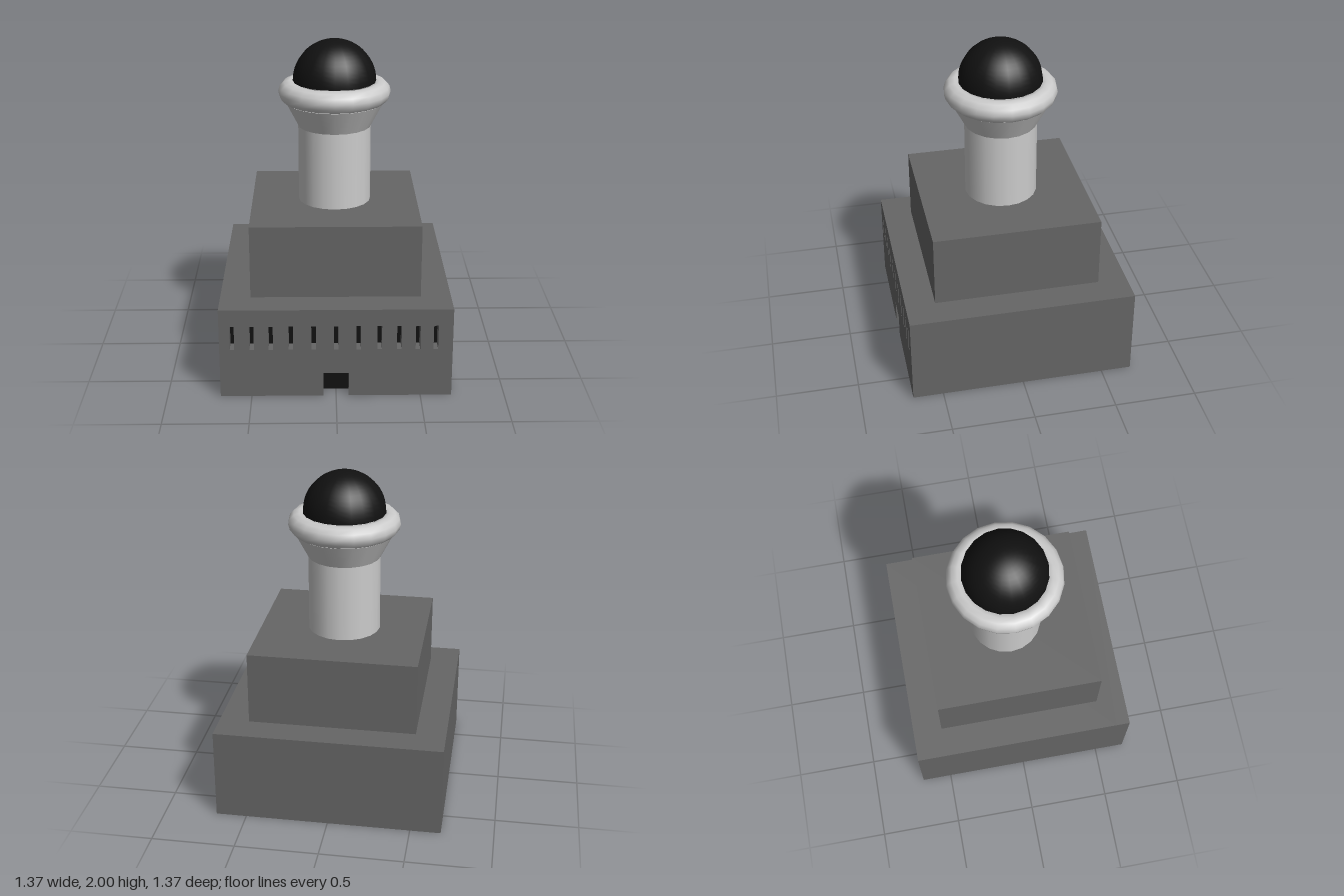
import * as THREE from 'three';

const stone = new THREE.MeshStandardMaterial({ color: 0x666666 });
const pale = new THREE.MeshStandardMaterial({ color: 0xcccccc });
const black = new THREE.MeshStandardMaterial({ color: 0x111111 });

const SIDES = 20;
const HALF = 0.685, BASE_H = 0.56, RECESS = 0.085;
const DOOR_W = 0.15, DOOR_H = 0.15;
const WIN_W = 0.027, WIN_Y0 = 0.305, WIN_Y1 = 0.455;
const WINDOW_X = [-0.61, -0.495, -0.383, -0.265, -0.132, 0, 0.132, 0.255, 0.37, 0.48, 0.585];

export function createModel() {
  const model = new THREE.Group();
  const add = (name, geometry, material, x = 0, y = 0, z = 0, parent = model) => {
    const mesh = new THREE.Mesh(geometry, material);
    mesh.name = name;
    mesh.position.set(x, y, z);
    parent.add(mesh);
    return mesh;
  };

  // Lower block: solid rear body plus a front wall pierced by door and windows
  const base = new THREE.Group();
  base.name = 'lowerBlock';
  model.add(base);
  const bodyDepth = 2 * HALF - RECESS;
  add('lowerBody', new THREE.BoxGeometry(2 * HALF, BASE_H, bodyDepth), stone, 0, BASE_H / 2, -RECESS / 2, base);

  const d = DOOR_W / 2;
  const wall = new THREE.Shape([
    [-HALF, 0], [-d, 0], [-d, DOOR_H], [d, DOOR_H], [d, 0],
    [HALF, 0], [HALF, BASE_H], [-HALF, BASE_H],
  ].map(([x, y]) => new THREE.Vector2(x, y)));
  const w = WIN_W / 2;
  for (const x of WINDOW_X) {
    wall.holes.push(new THREE.Path([
      [x - w, WIN_Y0], [x - w, WIN_Y1], [x + w, WIN_Y1], [x + w, WIN_Y0],
    ].map(([px, py]) => new THREE.Vector2(px, py))));
  }
  const wallGeometry = new THREE.ExtrudeGeometry(wall, { depth: RECESS, bevelEnabled: false });
  add('frontWall', wallGeometry, stone, 0, 0, HALF - RECESS, base);

  // Dark panels at the back of each recess
  const panelZ = HALF - RECESS + 0.003;
  add('door', new THREE.PlaneGeometry(DOOR_W, DOOR_H), black, 0, DOOR_H / 2, panelZ, base);
  for (const x of WINDOW_X) {
    add('window', new THREE.PlaneGeometry(WIN_W, WIN_Y1 - WIN_Y0), black, x, (WIN_Y0 + WIN_Y1) / 2, panelZ, base);
  }

  // Upper block
  add('upperBlock', new THREE.BoxGeometry(1.01, 0.445, 1.01), stone, 0, 0.7825, 0);

  // Round tower with flared neck, ring and dome
  add('column', new THREE.CylinderGeometry(0.22, 0.22, 0.47, SIDES), pale, 0, 1.24, 0);
  add('flaredNeck', new THREE.CylinderGeometry(0.297, 0.22, 0.148, SIDES), pale, 0, 1.549, 0);
  add('ring', new THREE.TorusGeometry(0.272, 0.066, 12, SIDES), pale, 0, 1.685, 0).rotation.x = Math.PI / 2;
  add('dome', new THREE.SphereGeometry(0.25, SIDES, 14, 0, Math.PI * 2, 0, Math.PI / 2), black, 0, 1.75, 0);

  return model;
}
